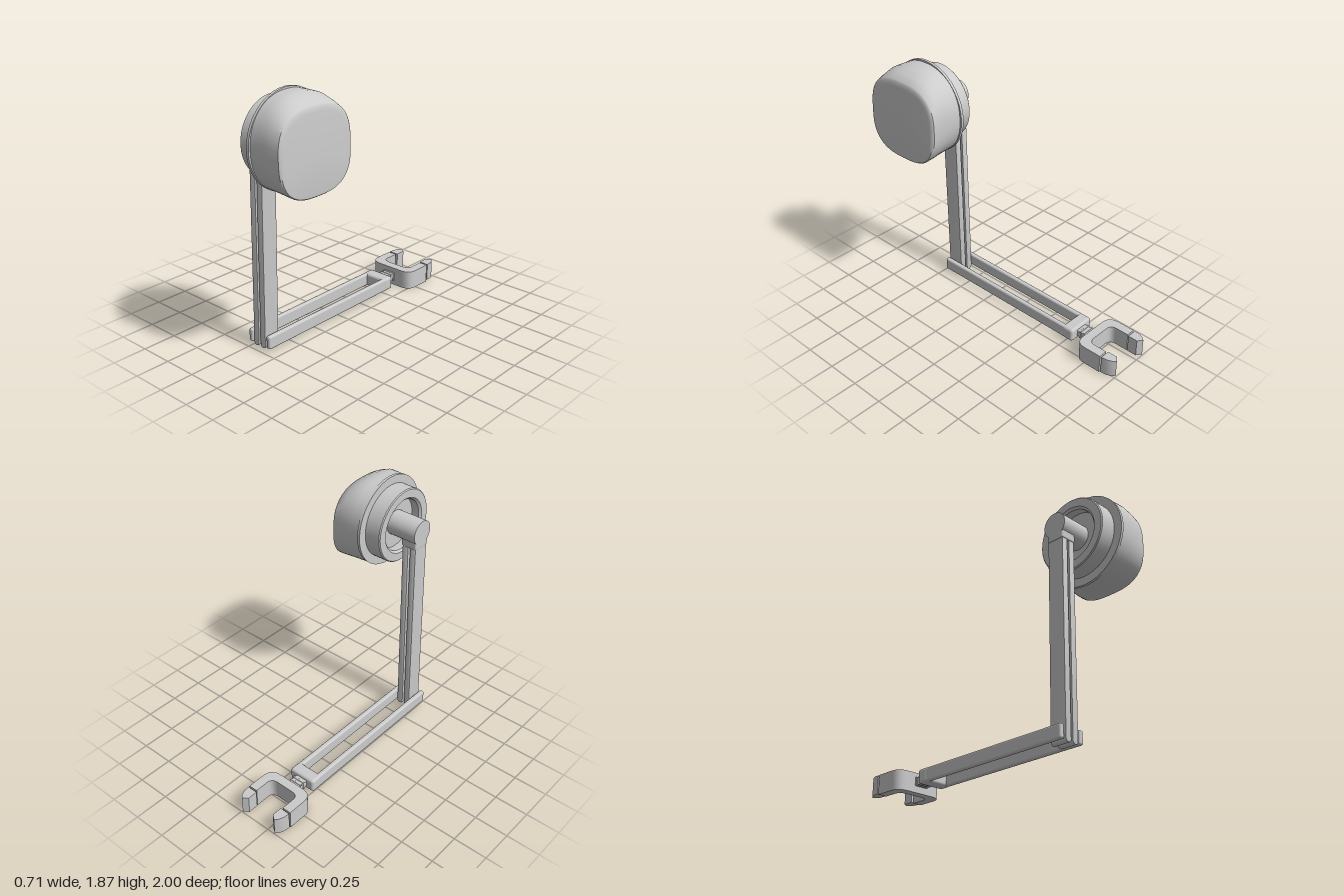
import * as THREE from 'three';
import { toCreasedNormals } from 'three/addons/utils/BufferGeometryUtils.js';
import { RoundedBoxGeometry } from 'three/addons/geometries/RoundedBoxGeometry.js';

const material = new THREE.MeshStandardMaterial({ color: 0xcccccc });
const HEAD_Y = 1.537, HEAD_Z = 0.665;

function part(parent, name, geometry, x = 0, y = 0, z = 0) {
  const mesh = new THREE.Mesh(geometry, material);
  mesh.name = name;
  mesh.position.set(x, y, z);
  parent.add(mesh);
  return mesh;
}

const crease = (g, angle = 0.6) => toCreasedNormals(g, angle);

// Rounded box given by its min and max corners
function box(parent, name, [x0, y0, z0], [x1, y1, z1], r) {
  const g = new RoundedBoxGeometry(x1 - x0, y1 - y0, z1 - z0, 3, r);
  return part(parent, name, g, (x0 + x1) / 2, (y0 + y1) / 2, (z0 + z1) / 2);
}

// Cylinder lying along x
function rod(parent, name, r, x0, x1, y, z, sides = 24) {
  const g = new THREE.CylinderGeometry(r, r, x1 - x0, sides).rotateZ(-Math.PI / 2);
  return part(parent, name, g, (x0 + x1) / 2, y, z);
}

// Plan outline (x, -z) raised from y0 to y1
function slab(parent, name, shape, y0, y1) {
  const g = new THREE.ExtrudeGeometry(shape, { depth: y1 - y0, bevelEnabled: false, curveSegments: 8 });
  g.rotateX(-Math.PI / 2).translate(0, y0, 0);
  return part(parent, name, crease(g));
}

// Squarish dome: superellipse rings along x, the front ones tilted back at the top
function domeGeometry() {
  const N = 56;
  // x, bottom, top, half depth, exponent, tilt
  const rings = [
    [0.09, 1.217, 1.857, 0.318, 2.2, 0],
    [0.16, 1.217, 1.857, 0.318, 2.3, 0],
    [0.22, 1.218, 1.853, 0.318, 2.4, 0.005],
    [0.285, 1.219, 1.825, 0.317, 2.55, 0.01],
    [0.34, 1.221, 1.795, 0.313, 2.7, 0.016],
    [0.35, 1.228, 1.78, 0.303, 2.8, 0.018],
    [0.353, 1.25, 1.75, 0.28, 2.8, 0.018],
  ];
  const pos = [], idx = [];
  for (const [x, y0, y1, hz, n, tilt] of rings) {
    for (let j = 0; j < N; j++) {
      const t = (j / N) * Math.PI * 2, c = Math.cos(t), s = Math.sin(t);
      const u = Math.sign(c) * Math.abs(c) ** (2 / n);
      const v = Math.sign(s) * Math.abs(s) ** (2 / n);
      pos.push(x - tilt * (u + 1) / 2, (y0 + y1) / 2 + u * (y1 - y0) / 2, HEAD_Z + v * hz);
    }
  }
  for (let i = 0; i < rings.length - 1; i++) {
    for (let j = 0; j < N; j++) {
      const k = (j + 1) % N, a = i * N + j, b = i * N + k;
      idx.push(a, b, a + N, b, b + N, a + N);
    }
  }
  const last = (rings.length - 1) * N, centre = rings.length * N;
  pos.push(0.346, 1.5, HEAD_Z);
  for (let j = 0; j < N; j++) idx.push(centre, last + j, last + (j + 1) % N);
  const g = new THREE.BufferGeometry();
  g.setAttribute('position', new THREE.Float32BufferAttribute(pos, 3));
  g.setIndex(idx);
  return crease(g, 0.7);
}

function buildHead() {
  const head = new THREE.Group();
  head.name = 'head';
  // Recessed back cup with its flange
  const profile = [[0, 0.03], [0.19, 0.03], [0.19, -0.03], [0.205, -0.045], [0.264, -0.045], [0.271, -0.038],
    [0.271, 0.08], [0.333, 0.08], [0.333, 0.1], [0.29, 0.1]].map(([r, h]) => new THREE.Vector2(r, h));
  const cup = new THREE.LatheGeometry(profile, 40).rotateZ(-Math.PI / 2);
  part(head, 'backCup', crease(cup), 0, HEAD_Y, HEAD_Z);
  part(head, 'dome', domeGeometry());
  return head;
}

function buildUpperArm() {
  const arm = new THREE.Group();
  arm.name = 'upperArm';
  rod(arm, 'neck', 0.09, -0.205, 0.035, 1.541, 0.663, 32);
  box(arm, 'neckBlock', [-0.205, 1.425, 0.595], [-0.08, 1.56, 0.73], 0.012);
  // Two leaning uprights with rounded feet
  for (const [name, foot, top] of [['outerUpright', -0.195, -0.176], ['innerUpright', -0.133, -0.112]]) {
    const w = 0.024;
    const s = new THREE.Shape();
    s.moveTo(top + w, 1.45);
    s.lineTo(top - w, 1.45);
    s.lineTo(foot - w, 0.042);
    s.absarc(foot, 0.042, w, Math.PI, Math.PI * 2, false);
    const g = new THREE.ExtrudeGeometry(s, { depth: 0.115, bevelEnabled: true, bevelThickness: 0.005,
      bevelSize: 0.004, bevelOffset: -0.004, bevelSegments: 2, curveSegments: 10 });
    part(arm, name, crease(g), 0, 0, 0.605);
  }
  return arm;
}

function buildForearm() {
  const arm = new THREE.Group();
  arm.name = 'forearm';
  box(arm, 'rightRail', [-0.27, 0.028, -0.55], [-0.233, 0.125, 0.727], 0.014);
  box(arm, 'leftRail', [-0.1, 0.028, -0.55], [-0.063, 0.125, 0.727], 0.014);
  box(arm, 'crossbar', [-0.272, 0.026, -0.568], [-0.06, 0.127, -0.473], 0.02);
  rod(arm, 'elbowPin', 0.025, -0.25, -0.08, 0.075, 0.662);
  return arm;
}

function buildGripper() {
  const grip = new THREE.Group();
  grip.name = 'gripper';
  const cx = -0.165;
  box(grip, 'wrist', [cx - 0.045, 0.048, -0.69], [cx + 0.045, 0.103, -0.55], 0.008);
  for (const z of [-0.595, -0.625, -0.655]) {
    box(grip, 'wristRib', [cx - 0.05, 0.044, z - 0.008], [cx + 0.05, 0.107, z + 0.008], 0.004);
  }
  // U-shaped palm
  const u = new THREE.Shape();
  const o = 0.19, i = 0.122;
  u.moveTo(cx - o, 0.885);
  u.lineTo(cx - o, 0.755);
  u.bezierCurveTo(cx - o, 0.69, cx - 0.16, 0.668, cx - 0.1, 0.668);
  u.lineTo(cx + 0.1, 0.668);
  u.bezierCurveTo(cx + 0.16, 0.668, cx + o, 0.69, cx + o, 0.755);
  u.lineTo(cx + o, 0.885);
  u.lineTo(cx + i, 0.885);
  u.lineTo(cx + i, 0.785);
  u.quadraticCurveTo(cx + i, 0.735, cx + 0.065, 0.735);
  u.lineTo(cx - 0.065, 0.735);
  u.quadraticCurveTo(cx - i, 0.735, cx - i, 0.785);
  u.lineTo(cx - i, 0.885);
  slab(grip, 'palm', u, 0, 0.14);
  // Pointed fingertips, each on a small knuckle
  for (const side of [-1, 1]) {
    const pts = [[0.114, 0.897], [0.19, 0.897], [0.186, 0.94], [0.172, 0.975], [0.15, 1], [0.113, 0.972]];
    const tip = new THREE.Shape(pts.map(([x, d]) => new THREE.Vector2(cx + side * x, d)));
    slab(grip, 'fingertip', tip, 0.008, 0.14);
    const kx = cx + side * 0.155;
    box(grip, 'knuckle', [kx - 0.015, 0.03, -0.91], [kx + 0.015, 0.115, -0.87], 0.004);
  }
  return grip;
}

export function createModel() {
  const model = new THREE.Group();
  model.name = 'roboticArm';
  model.add(buildHead(), buildUpperArm(), buildForearm(), buildGripper());
  return model;
}
